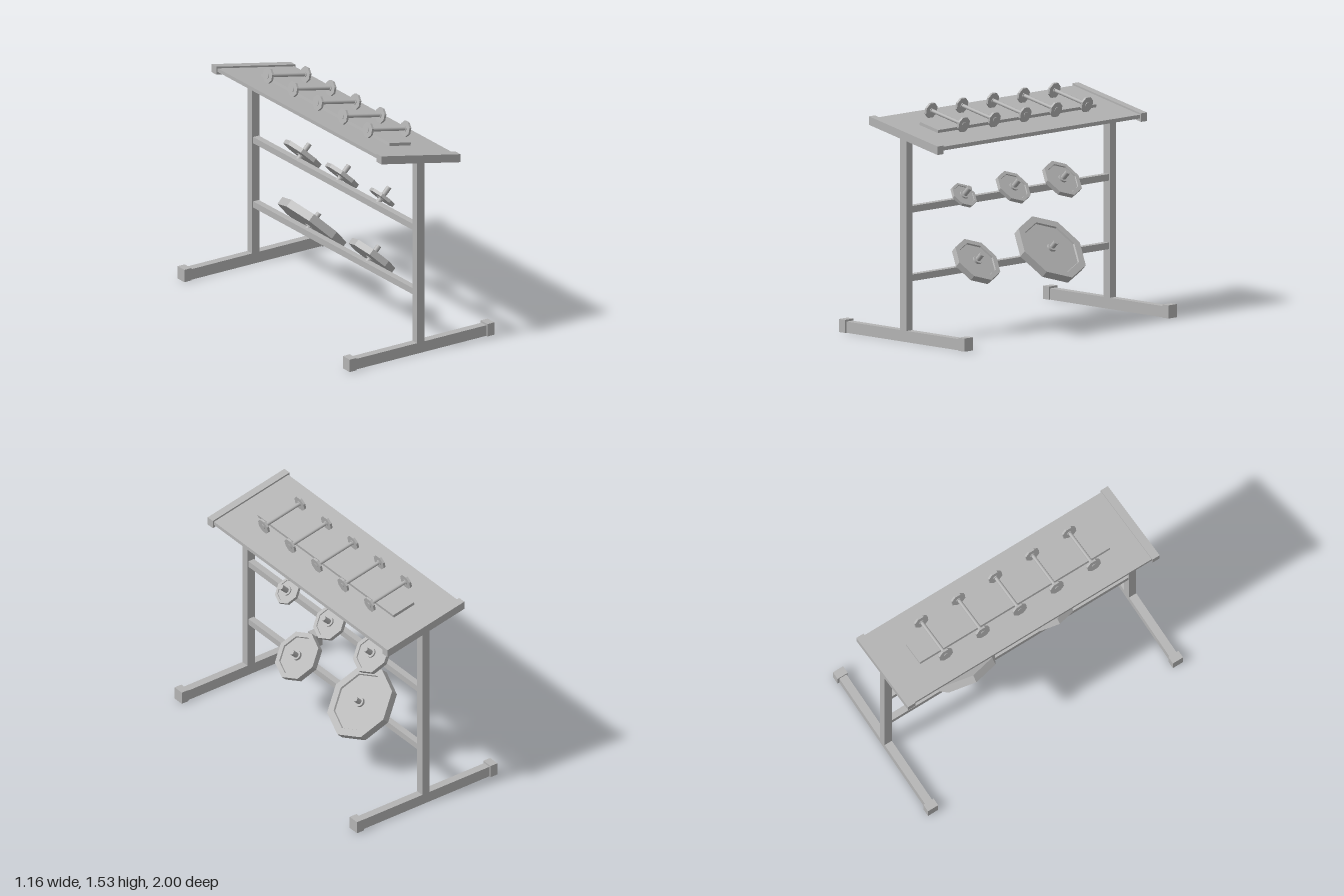
import * as THREE from 'three';
import { toCreasedNormals } from 'three/addons/utils/BufferGeometryUtils.js';

const SLOPE = -0.205;            // rise of the tilted shelf along x
const TILT = Math.atan(SLOPE);

export function createModel() {
  const model = new THREE.Group();
  model.name = 'weightRack';
  const steel = new THREE.MeshStandardMaterial({ color: 0xb4b4b4 });
  steel.name = 'grey steel';

  function add(name, geometry, x, y, z, parent = model) {
    const mesh = new THREE.Mesh(geometry, steel);
    mesh.name = name;
    mesh.position.set(x, y, z);
    parent.add(mesh);
    return mesh;
  }
  const box = (name, w, h, d, x, y, z, parent) =>
    add(name, new THREE.BoxGeometry(w, h, d), x, y, z, parent);

  // Sloping slab with upright ends; top is its height at x = 0
  function slab(name, half, top, thick, depth, z) {
    const rise = SLOPE * half;
    const shape = new THREE.Shape([
      new THREE.Vector2(-half, top - rise - thick),
      new THREE.Vector2(half, top + rise - thick),
      new THREE.Vector2(half, top + rise),
      new THREE.Vector2(-half, top - rise),
    ]);
    const geometry = new THREE.ExtrudeGeometry(shape, { depth, bevelEnabled: false });
    add(name, geometry, 0, 0, z - depth / 2);
  }

  // End frames: foot, end caps, post and shelf trim
  for (const side of [1, -1]) {
    const z = side * 0.958;
    box('foot', 1.06, 0.075, 0.056, 0, 0.0375, z);
    for (const end of [1, -1]) box('footCap', 0.056, 0.088, 0.08, end * 0.552, 0.044, side * 0.96);
    box('post', 0.06, 1.3, 0.056, 0, 0.715, z);
    slab('shelfTrim', 0.317, 1.405, 0.057, 0.056, z);
  }

  // Cross rails
  for (const y of [0.422, 0.88]) box('rail', 0.045, 0.044, 1.862, 0, y, 0);

  // Tilted shelf with the raised pad
  slab('shelf', 0.307, 1.393, 0.025, 1.862, 0);
  const pad = box('shelfPad', 0.174, 0.022, 1.49, 0, 1.403, 0);
  pad.rotation.z = TILT;

  // Dumbbells lying across the shelf
  for (let i = -2; i <= 2; i++) {
    const dumbbell = new THREE.Group();
    dumbbell.name = 'dumbbell';
    dumbbell.position.set(0.008, 1.4535, i * 0.29);
    dumbbell.rotation.z = TILT;
    model.add(dumbbell);
    const bar = add('dumbbellBar', new THREE.CylinderGeometry(0.0125, 0.0125, 0.32, 12), 0, 0, 0, dumbbell);
    bar.rotation.z = Math.PI / 2;
    for (const end of [1, -1]) {
      const disc = new THREE.CylinderGeometry(0.054, 0.054, 0.015, 8);
      disc.rotateY(Math.PI / 8);
      disc.rotateZ(Math.PI / 2);
      add('dumbbellWeight', toCreasedNormals(disc, 0.5), end * 0.153, 0, 0, dumbbell);
      const hub = new THREE.CylinderGeometry(0.019, 0.019, 0.024, 12);
      hub.rotateZ(Math.PI / 2);
      add('dumbbellHub', hub, end * 0.152, 0, 0, dumbbell);
    }
  }

  // Octagonal plate with a recessed face, axis along y
  function plateGeometry(r, t) {
    const inner = r * 0.8;
    const floor = t / 2 - Math.min(0.012, t * 0.25);
    const profile = [[0, -t / 2], [r, -t / 2], [r, t / 2], [inner, t / 2], [inner * 0.98, floor], [0, floor]]
      .map(([x, y]) => new THREE.Vector2(x, y));
    return toCreasedNormals(new THREE.LatheGeometry(profile, 8), 0.5);
  }

  // Plates on slanted pegs: rail height, z, radius, thickness
  const plates = [
    [0.42, -0.348, 0.26, 0.056],
    [0.42, 0.348, 0.174, 0.045],
    [0.876, -0.46, 0.145, 0.031],
    [0.876, 0, 0.128, 0.028],
    [0.876, 0.465, 0.096, 0.022],
  ];
  for (const [y, z, r, t] of plates) {
    const holder = new THREE.Group();
    holder.name = 'plateHolder';
    holder.position.set(0, y, z);
    holder.rotation.z = -Math.PI / 4;
    model.add(holder);
    add('weightPlate', plateGeometry(r, t), 0, 0.067, 0, holder);
    add('plateCollar', new THREE.CylinderGeometry(0.032, 0.032, t + 0.008, 16), 0, 0.067, 0, holder);
    add('platePeg', new THREE.CylinderGeometry(0.018, 0.018, 0.15, 16), 0, 0.073, 0, holder);
  }

  return model;
}
